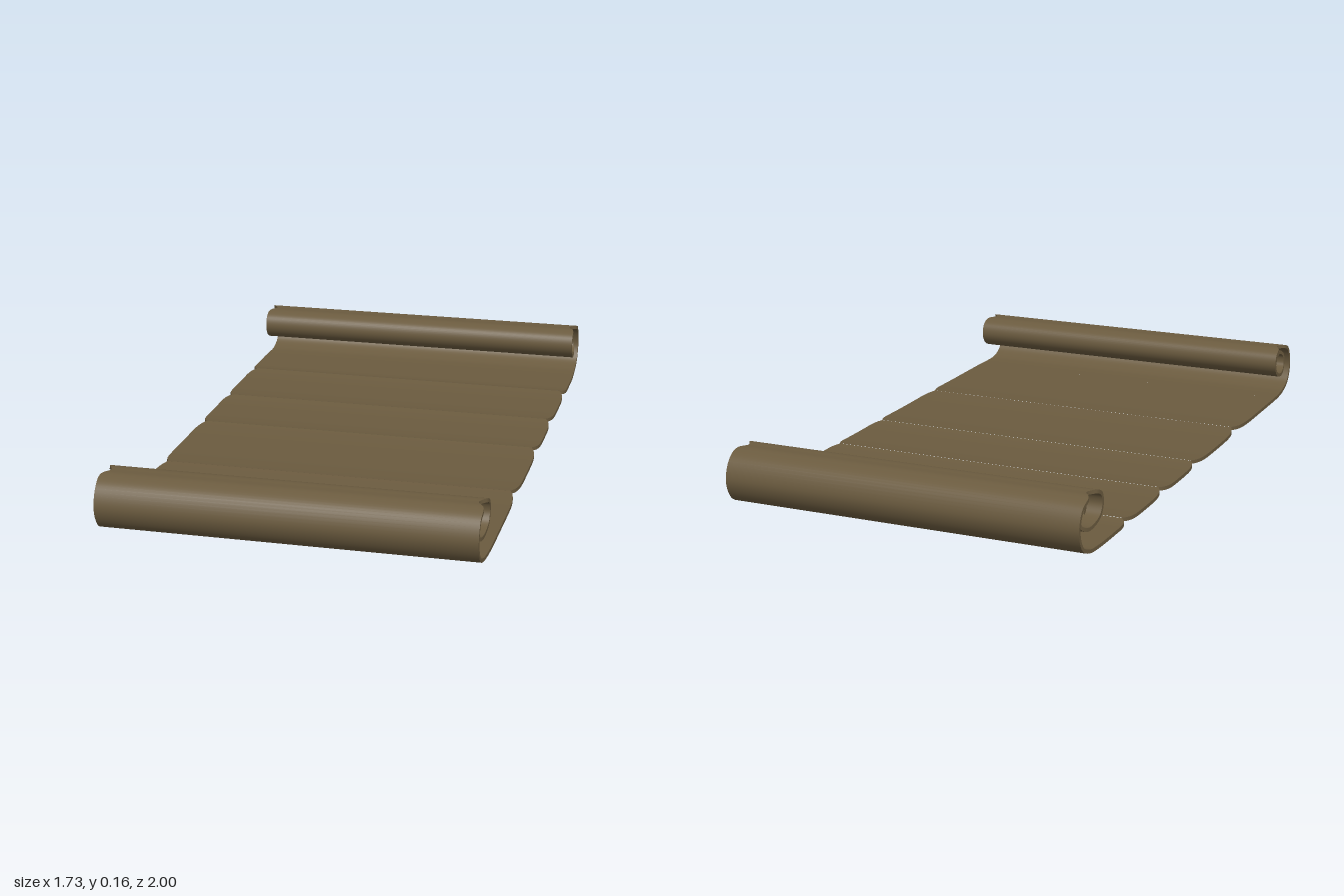
import * as THREE from 'three';
import { mergeGeometries } from 'three/addons/utils/BufferGeometryUtils.js';

const HALF_THICK = 0.005;

// Indexed strip between two edge lines, smooth along its length
function strip(p, q) {
  const pos = [], index = [];
  for (let i = 0; i < p.length; i++) {
    pos.push(...p[i], ...q[i]);
    if (i < p.length - 1) {
      const a = 2 * i;
      index.push(a, a + 2, a + 1, a + 1, a + 2, a + 3);
    }
  }
  const g = new THREE.BufferGeometry();
  g.setAttribute('position', new THREE.Float32BufferAttribute(pos, 3));
  g.setIndex(index);
  g.computeVertexNormals();
  return g;
}

// Thin solid sheet following a path; each point holds (half width, y, z)
function sheet(path) {
  const lt = [], rt = [], rb = [], lb = [];
  path.forEach((p, i) => {
    const a = path[Math.max(i - 1, 0)], b = path[Math.min(i + 1, path.length - 1)];
    const len = Math.hypot(b.z - a.z, b.y - a.y);
    const ny = ((b.z - a.z) / len) * HALF_THICK, nz = (-(b.y - a.y) / len) * HALF_THICK;
    lt.push([-p.x, p.y + ny, p.z + nz]);
    rt.push([p.x, p.y + ny, p.z + nz]);
    rb.push([p.x, p.y - ny, p.z - nz]);
    lb.push([-p.x, p.y - ny, p.z - nz]);
  });
  const n = path.length - 1;
  return mergeGeometries([
    strip(lt, rt), strip(rt, rb), strip(rb, lb), strip(lb, lt),
    strip([lt[n], lb[n]], [rt[n], rb[n]]), // loose end
  ]);
}

export function createModel() {
  const parchment = new THREE.MeshStandardMaterial({ color: 0x6b5b3f });
  parchment.name = 'parchment brown';
  const model = new THREE.Group();
  model.name = 'scroll';

  const body = new THREE.Group();
  body.name = 'unrolledScroll';
  body.rotation.y = Math.PI / 6;
  model.add(body);

  // Flat panels, pinched and slightly raised at each crease
  const creases = [-0.7, -0.55, -0.28, -0.025, 0.327, 0.7];
  for (let k = 0; k < 5; k++) {
    const path = [];
    for (let i = 0; i <= 20; i++) {
      const t = i / 20, d = Math.abs(2 * t - 1);
      const outer = (k === 0 && t < 0.5) || (k === 4 && t > 0.5);
      const c = outer ? 0 : 1;
      path.push(new THREE.Vector3(
        0.504 - c * 0.017 * d ** 6,
        0.005 + c * 0.006 * d ** 3,
        THREE.MathUtils.lerp(creases[k], creases[k + 1], t)));
    }
    const panel = new THREE.Mesh(sheet(path), parchment);
    panel.name = 'panel' + (k + 1);
    body.add(panel);
  }

  // Rolled end: half width, y, z along the curl, with a small nick on top
  const curl = new THREE.CatmullRomCurve3([
    [0.504, 0.005, 0.7], [0.502, 0.005, 0.75], [0.5, 0.009, 0.795],
    [0.5, 0.03, 0.84], [0.5, 0.078, 0.861], [0.5, 0.128, 0.843],
    [0.5, 0.148, 0.805], [0.482, 0.15, 0.775], [0.498, 0.149, 0.745],
    [0.5, 0.135, 0.718], [0.5, 0.108, 0.711], [0.5, 0.082, 0.725],
    [0.498, 0.067, 0.76], [0.495, 0.066, 0.8], [0.49, 0.083, 0.83],
    [0.488, 0.112, 0.83], [0.485, 0.128, 0.805], [0.482, 0.118, 0.78],
    [0.48, 0.1, 0.785],
  ].map((p) => new THREE.Vector3(...p)));
  const rollGeometry = sheet(curl.getPoints(110));
  ['nearRoll', 'farRoll'].forEach((name, i) => {
    const roll = new THREE.Mesh(rollGeometry, parchment);
    roll.name = name;
    roll.rotation.y = i * Math.PI;
    body.add(roll);
  });

  return model;
}
